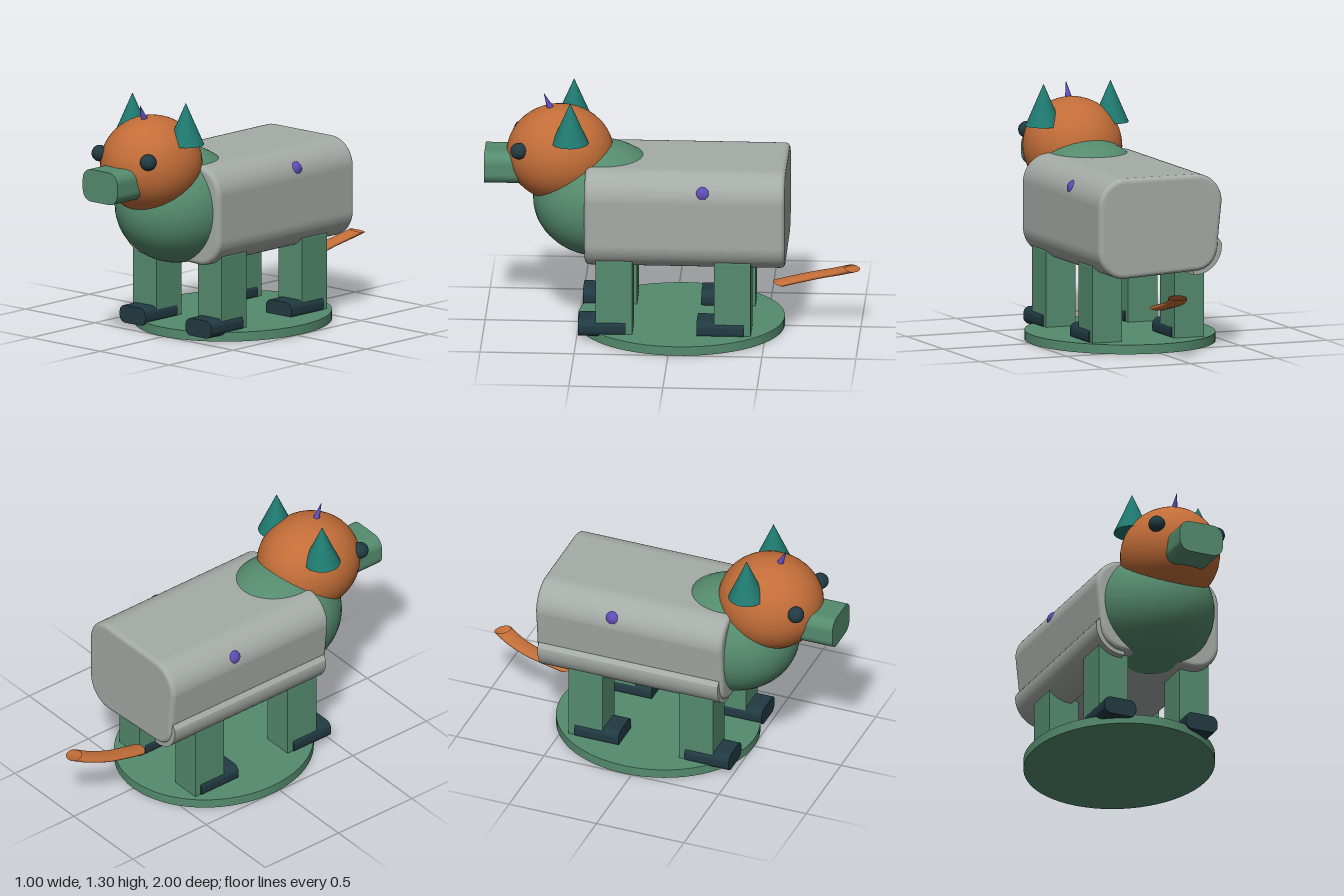
import * as THREE from 'three';

export function createModel() {
  const model = new THREE.Group();
  const mat = (name, color, side = THREE.FrontSide) => {
    const m = new THREE.MeshStandardMaterial({ color, side });
    m.name = name;
    return m;
  };
  const green = mat('green', 0x558b6e);
  const orange = mat('orange', 0xc26d38, THREE.DoubleSide);
  const grey = mat('grey', 0xa5aba6);
  const dark = mat('darkSlate', 0x213a42);
  const teal = mat('teal', 0x1f7a70);
  const purple = mat('purple', 0x5f4bb6);

  const add = (name, geometry, material, x = 0, y = 0, z = 0) => {
    const mesh = new THREE.Mesh(geometry, material);
    mesh.name = name;
    mesh.position.set(x, y, z);
    model.add(mesh);
    return mesh;
  };
  const ball = (name, material, pos, radii) =>
    add(name, new THREE.SphereGeometry(1, 40, 28), material, ...pos).scale.set(...radii);

  // Rounded rectangle in x and y, extruded from z0 to z1
  const roundedBar = (w, y0, y1, z0, z1, r) => {
    const h = w / 2;
    const s = new THREE.Shape();
    s.absarc(h - r, y1 - r, r, 0, Math.PI / 2);
    s.absarc(-h + r, y1 - r, r, Math.PI / 2, Math.PI);
    s.absarc(-h + r, y0 + r, r, Math.PI, Math.PI * 1.5);
    s.absarc(h - r, y0 + r, r, Math.PI * 1.5, Math.PI * 2);
    const g = new THREE.ExtrudeGeometry(s, { depth: z1 - z0, bevelEnabled: false, curveSegments: 8 });
    return g.translate(0, 0, z0);
  };

  // Base disc, slightly longer than wide
  add('base', new THREE.CylinderGeometry(0.5, 0.5, 0.05, 64), green, 0, 0.025, -0.045).scale.z = 1.1;

  // Body: rounded section whose right wall leans in toward the bottom
  const bevel = 0.025;
  const section = new THREE.Shape();
  section.moveTo(0.205, 0.435);
  section.absarc(0.205, 0.56, 0.125, -Math.PI / 2, 0);
  section.absarc(0.205, 0.80, 0.125, 0, Math.PI / 2);
  section.absarc(-0.205, 0.80, 0.125, Math.PI / 2, Math.PI);
  section.lineTo(-0.308, 0.59);
  section.quadraticCurveTo(-0.305, 0.455, -0.19, 0.455);
  const body = new THREE.ExtrudeGeometry(section, {
    depth: 1.065 - 2 * bevel, bevelSize: bevel, bevelThickness: bevel, bevelSegments: 4, curveSegments: 12,
  });
  add('body', body.translate(0, 0, -0.61 + bevel), grey);

  // Raised lip along the lower right edge of the body
  const lip = new THREE.Shape();
  lip.moveTo(-0.3, 0.6);
  lip.lineTo(-0.335, 0.6);
  lip.lineTo(-0.354, 0.575);
  lip.absarc(-0.205, 0.56, 0.15, Math.PI, Math.PI * 1.5);
  lip.lineTo(-0.19, 0.41);
  lip.lineTo(-0.19, 0.46);
  const lipGeo = new THREE.ExtrudeGeometry(lip, { depth: 1.03, bevelEnabled: false, curveSegments: 12 });
  add('bodyLip', lipGeo.translate(0, 0, -0.595), grey);

  // Chest, head and snout
  ball('chest', green, [0, 0.708, 0.388], [0.32, 0.315, 0.357]);
  ball('head', orange, [0, 0.957, 0.6], [0.262, 0.26, 0.285]);
  add('snout', roundedBar(0.25, 0.805, 0.98, 0.72, 1.0, 0.06), green);

  // Horn leaning forward
  add('horn', new THREE.ConeGeometry(0.022, 0.11, 16), purple, 0, 1.24, 0.667).rotation.x = 0.4;

  // Paired parts
  for (const side of [1, -1]) {
    ball('eye', dark, [side * 0.175, 1.022, 0.812], [0.044, 0.044, 0.044]);
    add('ear', new THREE.ConeGeometry(0.098, 0.225, 32), teal, side * 0.193, 1.1925, 0.537);
    ball('sideSpot', purple, [side * 0.32, 0.85, -0.175], [0.037, 0.042, 0.044]);
    for (const [legBack, footBack] of [[0.2, 0.235], [-0.43, -0.395]]) {
      add('leg', roundedBar(0.17, 0.03, 0.478, legBack, legBack + 0.195, 0.025), green, side * 0.236);
      add('foot', roundedBar(0.185, 0.03, 0.125, footBack, footBack + 0.253, 0.038), dark, side * 0.238);
    }
  }

  // Flattened tail, rising backward and curling to the left
  const tailPath = new THREE.CatmullRomCurve3([
    [0, 0, -0.567], [-0.004, 0.085, -0.66], [0, 0.19, -0.775], [0.025, 0.3, -0.88], [0.055, 0.407, -0.957],
  ].map((p) => new THREE.Vector3(...p)));
  add('tail', new THREE.TubeGeometry(tailPath, 32, 0.05, 20), orange, 0, 0.24, 0).scale.y = 0.27;

  return model;
}
